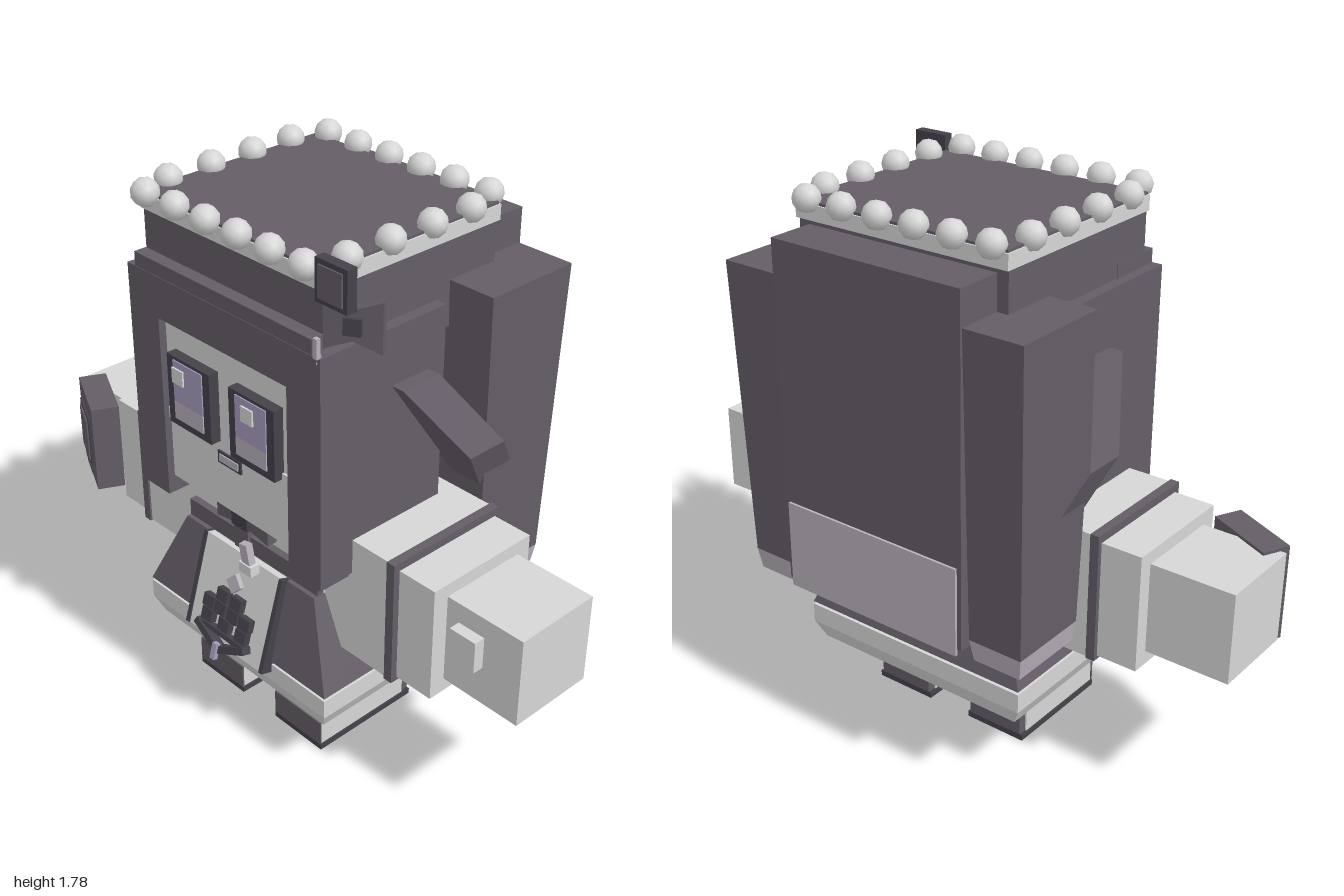
import * as THREE from 'three';

const mat = (name, color, extra = {}) => Object.assign(new THREE.MeshStandardMaterial({ color, ...extra }), { name });

export function createModel() {
  const root = new THREE.Group();
  root.name = 'blockFigure';
  const dark = mat('charcoal', 0x645d67);
  const trim = mat('darkTrim', 0x45414a);
  const white = mat('white', 0xd6d6d6);
  const tip = mat('paleTip', 0xb7b1ba);
  const lilac = mat('lilac', 0xa69bbd);

  const add = (name, geo, m, parent = root) => {
    const mesh = new THREE.Mesh(geo, m);
    mesh.name = name;
    parent.add(mesh);
    return mesh;
  };
  // Box given by its min and max on each axis
  const box = (name, m, x0, x1, y0, y1, z0, z1, parent = root) => {
    const mesh = add(name, new THREE.BoxGeometry(x1 - x0, y1 - y0, z1 - z0), m, parent);
    mesh.position.set((x0 + x1) / 2, (y0 + y1) / 2, (z0 + z1) / 2);
    return mesh;
  };
  // Four-sided frustum: each level is [x0, x1, y, z0, z1]
  const frustum = (name, m, lo, hi, parent = root) => {
    const g = new THREE.BoxGeometry(1, 1, 1), p = g.attributes.position;
    for (let i = 0; i < p.count; i++) {
      const l = p.getY(i) < 0 ? lo : hi;
      p.setXYZ(i, p.getX(i) < 0 ? l[0] : l[1], l[2], p.getZ(i) < 0 ? l[3] : l[4]);
    }
    g.computeVertexNormals();
    return add(name, g, m, parent);
  };
  // Thin bar between two points in a plane of constant z
  const bar = (name, m, x0, y0, x1, y1, z, t, d, parent = root) => {
    const b = add(name, new THREE.BoxGeometry(Math.hypot(x1 - x0, y1 - y0), t, d), m, parent);
    b.position.set((x0 + x1) / 2, (y0 + y1) / 2, z);
    b.rotation.z = Math.atan2(y1 - y0, x1 - x0);
    return b;
  };
  // Box placed on either side of the body
  const side = (s, name, m, x0, x1, ...rest) => s > 0 ? box(name, m, x0, x1, ...rest) : box(name, m, -x1, -x0, ...rest);
  const sideFrustum = (s, name, m, lo, hi) => {
    const f = l => s > 0 ? l : [-l[1], -l[0], l[2], l[3], l[4]];
    return frustum(name, m, f(lo), f(hi));
  };

  // Torso and skirt
  box('torso', white, -0.3, 0.3, 0.45, 0.85, -0.14, 0.29);
  box('waist', dark, -0.3, 0.3, 0.56, 0.68, -0.2, 0.315);
  frustum('skirt', dark, [-0.42, 0.42, 0.345, -0.29, 0.4], [-0.3, 0.3, 0.62, -0.21, 0.33]);
  box('hemGap', trim, -0.38, 0.38, 0.33, 0.345, -0.26, 0.37);
  box('hem', white, -0.42, 0.42, 0.27, 0.335, -0.29, 0.4);
  frustum('hemUnderside', white, [-0.39, 0.39, 0.21, -0.265, 0.375], [-0.42, 0.42, 0.27, -0.29, 0.4]);

  for (const s of [1, -1]) {
    // Legs, laces and shoes
    side(s, 'leg', white, 0.085, 0.295, 0.12, 0.22, -0.065, 0.195);
    side(s, 'shoe', white, 0.085, 0.295, 0.02, 0.125, -0.07, 0.297);
    side(s, 'sole', trim, 0.08, 0.3, 0, 0.02, -0.1, 0.302);
    side(s, 'toeCap', dark, 0.082, 0.298, 0.02, 0.108, 0.297, 0.303);
    side(s, 'heel', dark, 0.09, 0.29, 0.02, 0.08, -0.1, -0.07);
    for (const k of [1, -1])
      bar('lace', trim, s * 0.19 - 0.08, 0.175 - k * 0.035, s * 0.19 + 0.08, 0.175 + k * 0.035, 0.2, 0.02, 0.014);

    // Arms
    side(s, 'sleeve', white, 0.29, 0.56, 0.455, 0.87, -0.14, 0.285);
    side(s, 'sleeveBand', dark, 0.56, 0.59, 0.452, 0.874, -0.145, 0.292);
    side(s, 'cuff', white, 0.59, 0.725, 0.465, 0.848, -0.13, 0.27);
    side(s, 'hand', white, 0.725, 1, 0.51, 0.805, -0.08, 0.215);

    // Side hair, front locks and back tails
    side(s, 'sideHair', dark, 0.34, 0.415, 0.755, 1.5, -0.07, 0.405);
    side(s, 'frontLock', dark, 0.28, 0.415, 0.75, 1.37, 0.3, 0.41);
    sideFrustum(s, 'tail', dark, [0.34, 0.525, 0.57, -0.425, -0.15], [0.34, 0.54, 1.545, -0.455, -0.12]);
    sideFrustum(s, 'tailTip', tip, [0.35, 0.515, 0.5, -0.415, -0.155], [0.34, 0.525, 0.57, -0.425, -0.15]);

    // Slanted bent ear: front profile sheared backwards toward the bottom
    const pts = [[0.4, 1.32], [0.4, 0.93], [0.51, 0.9], [0.57, 1.08], [0.46, 1.32]].map(([x, y]) => new THREE.Vector2(s * x, y));
    const ear = new THREE.ExtrudeGeometry(new THREE.Shape(pts), { depth: 0.145, bevelEnabled: false });
    const p = ear.attributes.position;
    for (let i = 0; i < p.count; i++) p.setZ(i, p.getZ(i) - 0.005 + (p.getY(i) - 1.32) * 0.7);
    ear.computeVertexNormals();
    add('ear', ear, dark);

    // Eyes
    const c = s * 0.14;
    box('eyeFrame', trim, c - 0.097, c + 0.097, 1.04, 1.272, 0.385, 0.42);
    box('eyeWhite', tip, c - 0.066, c + 0.066, 1.065, 1.125, 0.418, 0.424);
    box('iris', lilac, c - 0.066, c + 0.066, 1.125, 1.262, 0.418, 0.424);
    const h = s > 0 ? 0.13 : -0.18;
    box('eyeGlint', white, h - 0.025, h + 0.025, 1.19, 1.24, 0.423, 0.43);
    side(s, 'cheek', white, 0.225, 0.28, 1.02, 1.06, 0.385, 0.392);
  }
  box('handKnob', white, 0.77, 0.865, 0.635, 0.74, 0.215, 0.252);

  // Head, face and hair
  box('head', white, -0.34, 0.34, 0.81, 1.42, -0.3, 0.385);
  box('mouth', trim, -0.052, 0.052, 0.966, 1.008, 0.385, 0.391);
  box('mouthInside', tip, -0.042, 0.042, 0.975, 1.0, 0.39, 0.395);
  box('fringe', dark, -0.415, 0.415, 1.365, 1.5, 0.22, 0.41);
  box('fringeTop', dark, -0.38, 0.38, 1.5, 1.545, 0.22, 0.408);
  box('crown', dark, -0.378, 0.378, 1.4, 1.67, -0.305, 0.365);
  box('backHair', dark, -0.34, 0.34, 0.55, 1.655, -0.462, -0.28);
  box('backHairEnd', tip, -0.325, 0.325, 0.53, 0.82, -0.47, -0.461);

  // Beaded hat rim
  box('hatRim', white, -0.383, 0.383, 1.67, 1.718, -0.315, 0.372);
  box('hatTop', dark, -0.378, 0.378, 1.718, 1.726, -0.31, 0.367);
  const beadGeo = new THREE.IcosahedronGeometry(0.044, 1);
  const bead = (x, z) => add('bead', beadGeo, white).position.set(x, 1.737, z);
  for (let i = 0; i < 6; i++) for (const z of [0.39, -0.32]) bead(-0.332 + i * 0.1328, z);
  for (const z of [-0.2, -0.045, 0.115, 0.275]) for (const s of [1, -1]) bead(s * 0.373, z);

  // Bow made of two flared loops and a square knot
  const bow = (name, w, h, d, knot) => {
    const g = new THREE.Group();
    g.name = name;
    for (const s of [1, -1]) {
      const sh = new THREE.Shape([[0, -h * 0.3], [s * w, -h * 0.5], [s * w, h * 0.5], [0, h * 0.3]].map(q => new THREE.Vector2(...q)));
      add('bowLoop', new THREE.ExtrudeGeometry(sh, { depth: d, bevelEnabled: false }), dark, g);
    }
    box('bowKnot', trim, -knot, knot, -knot, knot, -0.002, d + 0.012, g);
    root.add(g);
    return g;
  };

  // Hat ornament
  box('hatBadge', trim, 0.375, 0.495, 1.65, 1.775, 0.358, 0.392);
  box('hatBadgeFace', dark, 0.39, 0.48, 1.665, 1.76, 0.391, 0.397);
  const hatBow = bow('hatBow', 0.08, 0.15, 0.035, 0.025);
  hatBow.position.set(0.455, 1.6, 0.32);
  hatBow.rotation.y = 0.55;
  box('hatCharmCord', tip, 0.395, 0.41, 1.5, 1.56, 0.405, 0.418);
  const charm = add('hatCharm', new THREE.OctahedronGeometry(0.025), lilac);
  charm.position.set(0.402, 1.485, 0.4);
  charm.scale.set(0.5, 1.4, 0.5);

  // Neck bow, ribbon and pull
  bow('neckBow', 0.118, 0.1, 0.035, 0.036).position.set(0, 0.775, 0.315);
  box('ribbon', dark, -0.07, -0.005, 0.62, 0.76, 0.29, 0.325);
  const pull = box('pull', tip, 0.05, 0.085, 0.63, 0.725, 0.375, 0.4);
  pull.rotation.z = 0.2;
  box('pullTab', white, 0.045, 0.1, 0.625, 0.66, 0.37, 0.405);

  // Tilted apron with block emblem
  const apron = new THREE.Group();
  apron.name = 'apron';
  apron.position.set(-0.005, 0.465, 0.375);
  apron.rotation.x = -0.29;
  root.add(apron);
  box('apronPanel', white, -0.172, 0.172, -0.16, 0.165, -0.02, 0.018, apron);
  for (const s of [1, -1]) box('apronEdge', trim, s * 0.178 - 0.008, s * 0.178 + 0.008, -0.16, 0.165, -0.02, 0.022, apron);
  add('diamond', new THREE.BoxGeometry(0.048, 0.048, 0.02), tip, apron).position.set(0, 0.065, 0.025);
  apron.children.at(-1).rotation.z = Math.PI / 4;
  for (const [y, xs] of [[0.01, [-0.032, 0.032]], [-0.035, [-0.085, -0.03, 0.03, 0.085]], [-0.08, [-0.08, 0, 0.08]]])
    for (const x of xs) box('emblemBlock', trim, x - 0.024, x + 0.024, y - 0.021, y + 0.021, 0.015, 0.042, apron);
  for (const s of [1, -1]) bar('chevron', trim, s * 0.115, -0.112, 0, -0.165, 0.035, 0.024, 0.035, apron);
  bar('chevronTop', trim, -0.1, -0.112, 0.1, -0.112, 0.032, 0.016, 0.025, apron);
  box('pendant', lilac, -0.01, 0.01, -0.195, -0.14, 0.045, 0.062, apron);

  // Angled wrist guard on the right hand
  const guard = new THREE.Group();
  guard.name = 'wristGuard';
  guard.position.set(-0.865, 0.658, 0.255);
  guard.rotation.y = -0.45;
  root.add(guard);
  box('guardBlock', dark, -0.122, 0.122, -0.157, 0.157, -0.047, 0.047, guard);
  box('guardPlate', trim, -0.08, 0.08, -0.085, 0.1, 0.046, 0.055, guard);
  box('guardInset', dark, -0.065, 0.065, -0.07, 0.085, 0.054, 0.06, guard);
  box('guardSlot', trim, -0.045, 0.045, -0.137, -0.122, 0.046, 0.052, guard);

  return root;
}
